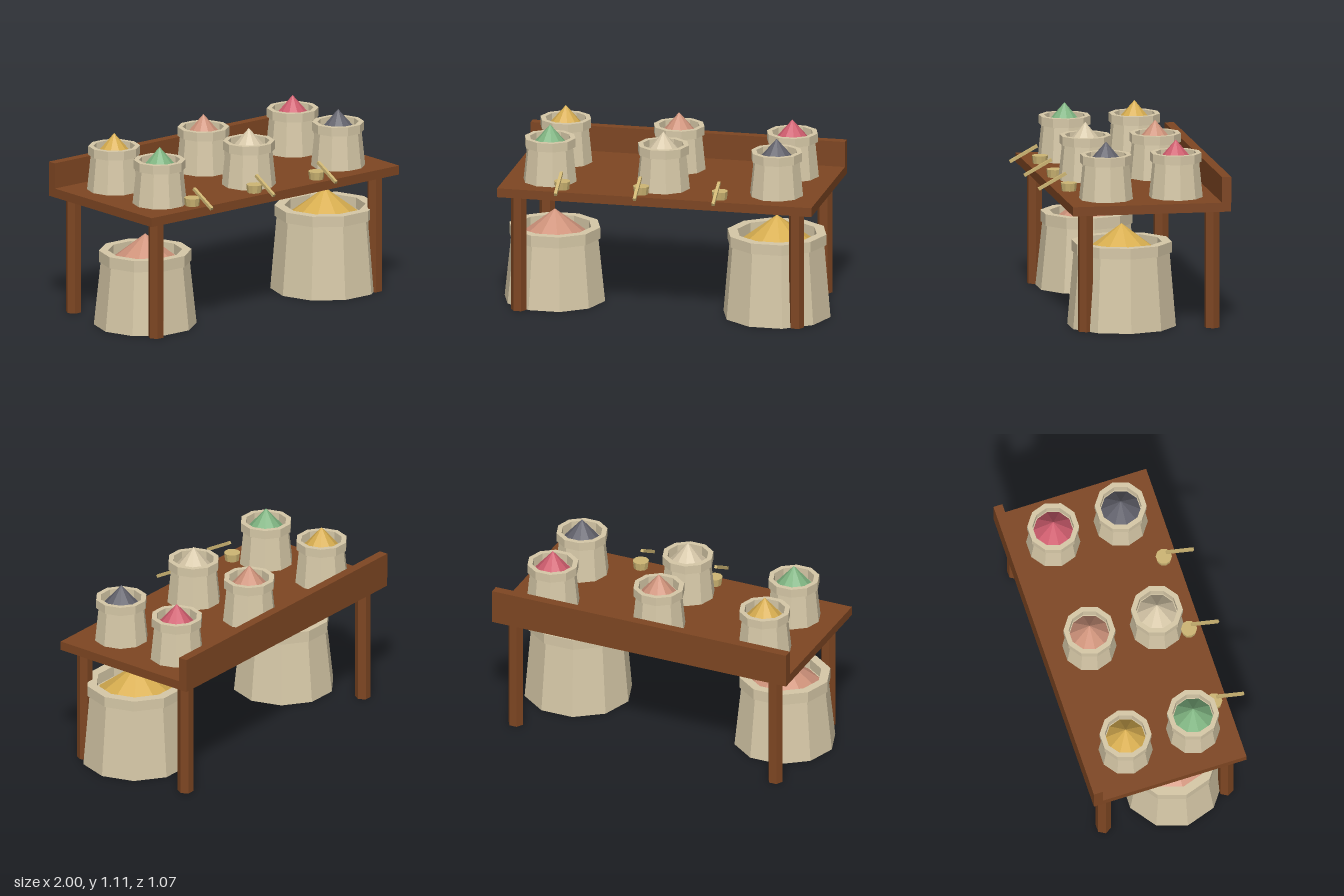
import * as THREE from 'three';

const mat = (name, color) => {
  const m = new THREE.MeshStandardMaterial({ color });
  m.name = name;
  return m;
};

// Split faces so every facet is flat
const facet = (geometry) => {
  const g = geometry.toNonIndexed();
  g.computeVertexNormals();
  return g;
};

export function createModel() {
  const model = new THREE.Group();
  model.name = 'spiceStall';

  const wood = mat('brown wood', 0x7e4622);
  const cream = mat('cream barrel', 0xd6c8a7);
  const straw = mat('straw wood', 0xcdb573);
  const spice = {
    green: mat('green spice', 0x7fb481),
    gold: mat('gold spice', 0xd8ae50),
    salmon: mat('salmon spice', 0xcf937b),
    red: mat('red spice', 0xcf5d6e),
    charcoal: mat('charcoal spice', 0x62626c),
    pale: mat('pale spice', 0xd8c9aa),
  };

  const add = (parent, name, geometry, material, x = 0, y = 0, z = 0) => {
    const mesh = new THREE.Mesh(geometry, material);
    mesh.name = name;
    mesh.position.set(x, y, z);
    parent.add(mesh);
    return mesh;
  };

  // Table: top, back board and six-sided legs
  const table = new THREE.Group();
  table.name = 'table';
  model.add(table);
  add(table, 'tableTop', new THREE.BoxGeometry(1.92, 0.055, 0.957), wood, 0, 0.7425, -0.053);
  add(table, 'backBoard', new THREE.BoxGeometry(1.92, 0.155, 0.056), wood, 0, 0.8475, -0.504);
  const legGeometry = facet(new THREE.CylinderGeometry(0.047, 0.047, 0.716, 6).rotateY(Math.PI / 6));
  for (const x of [-0.848, 0.848]) {
    for (const z of [0.3315, -0.4355]) add(table, 'leg', legGeometry, wood, x, 0.358, z);
  }

  // Ten-sided barrel with a raised rim and a pointed heap of spice inside
  const addBarrel = (x, y, z, s, spiceMaterial) => {
    const barrel = new THREE.Group();
    barrel.name = 'spiceBarrel';
    barrel.position.set(x, y, z);
    model.add(barrel);
    const profile = [
      [0, 0], [s.bottom, 0], [s.neck, s.rimLow], [s.rim, s.rimLow], [s.rim, s.top],
      [s.inner, s.top], [s.inner, s.floor], [0, s.floor],
    ].map(([r, h]) => new THREE.Vector2(r, h));
    add(barrel, 'barrelShell', facet(new THREE.LatheGeometry(profile, 10, Math.PI / 2)), cream);
    const height = s.tip - s.floor;
    const heap = new THREE.ConeGeometry(s.heap, height, 10).rotateY(Math.PI / 2);
    add(barrel, 'spiceHeap', facet(heap), spiceMaterial, 0, s.floor + height / 2, 0);
  };

  // Small barrels on the table, in two rows
  const small = { bottom: 0.162, neck: 0.14, rim: 0.155, inner: 0.124, rimLow: 0.213,
    top: 0.267, floor: 0.207, heap: 0.119, tip: 0.344 };
  const rows = [
    [-0.245, ['gold', 'salmon', 'red']],
    [0.178, ['green', 'pale', 'charcoal']],
  ];
  for (const [z, colours] of rows) {
    colours.forEach((c, i) => addBarrel((i - 1) * 0.692, 0.77, z, small, spice[c]));
  }

  // Two large barrels on the ground
  addBarrel(-0.693, 0, 0.045, { bottom: 0.307, neck: 0.266, rim: 0.277, inner: 0.222,
    rimLow: 0.385, top: 0.454, floor: 0.39, heap: 0.215, tip: 0.555 }, spice.salmon);
  addBarrel(0.672, 0, 0.08, { bottom: 0.327, neck: 0.289, rim: 0.302, inner: 0.242,
    rimLow: 0.445, top: 0.51, floor: 0.442, heap: 0.233, tip: 0.615 }, spice.gold);

  // Small scoops along the front edge: tapered cup and slanted handle
  const cupGeometry = facet(new THREE.CylinderGeometry(0.049, 0.043, 0.048, 10).rotateY(Math.PI / 2));
  const handleGeometry = new THREE.BoxGeometry(0.018, 0.018, 0.19);
  for (const x of [-0.58, -0.098, 0.383]) {
    const scoop = new THREE.Group();
    scoop.name = 'scoop';
    scoop.position.x = x;
    model.add(scoop);
    add(scoop, 'scoopCup', cupGeometry, straw, 0, 0.794, 0.347);
    add(scoop, 'scoopHandle', handleGeometry, straw, 0, 0.83, 0.447).rotation.x = 0.503;
  }

  return model;
}
